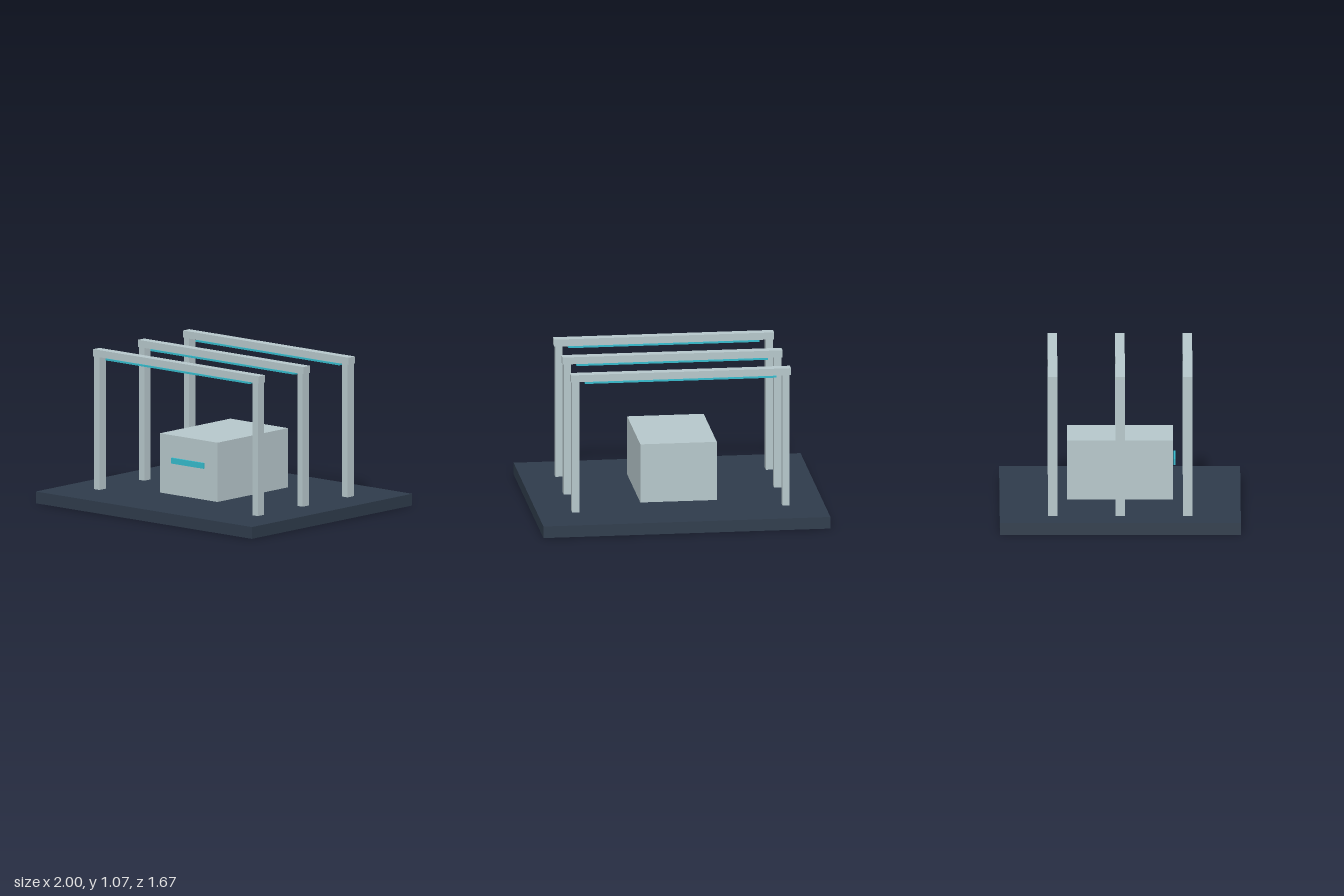
import * as THREE from 'three';

const shell = new THREE.MeshStandardMaterial({ color: 0xb7c8cc });
const dark = new THREE.MeshStandardMaterial({ color: 0x2f3c4c });
const glow = new THREE.MeshStandardMaterial({ color: 0x35bccd });

// Box given by its centre x, z, its bottom y and its size
function box(name, material, [w, h, d], [x, bottom, z]) {
  const mesh = new THREE.Mesh(new THREE.BoxGeometry(w, h, d), material);
  mesh.name = name;
  mesh.position.set(x, bottom + h / 2, z);
  return mesh;
}

// Portal frame: two posts, a cross beam and a light strip hung below it
function createFrame(z) {
  const frame = new THREE.Group();
  frame.name = 'portalFrame';
  frame.position.z = z;
  for (const side of [-1, 1]) {
    const name = side > 0 ? 'leftPost' : 'rightPost';
    frame.add(box(name, shell, [0.05, 0.934, 0.066], [side * 0.733, 0.083, 0]));
  }
  frame.add(box('crossBeam', shell, [1.533, 0.05, 0.066], [0, 1.017, 0]));
  frame.add(box('lightStrip', glow, [1.333, 0.013, 0.033], [0, 0.998, 0]));
  return frame;
}

export function createModel() {
  const model = new THREE.Group();
  model.name = 'scannerBay';

  // Floor slab
  model.add(box('floorSlab', dark, [2, 0.083, 1.667], [0, 0, 0]));

  // Central unit, raised slightly off the slab, with its front light
  model.add(box('centralUnit', shell, [0.533, 0.417, 0.733], [0, 0.102, 0]));
  model.add(box('frontLight', glow, [0.3, 0.04, 0.013], [0, 0.323, 0.377]));

  // Row of frames from back to front
  for (const z of [-0.467, 0, 0.467]) model.add(createFrame(z));

  return model;
}
